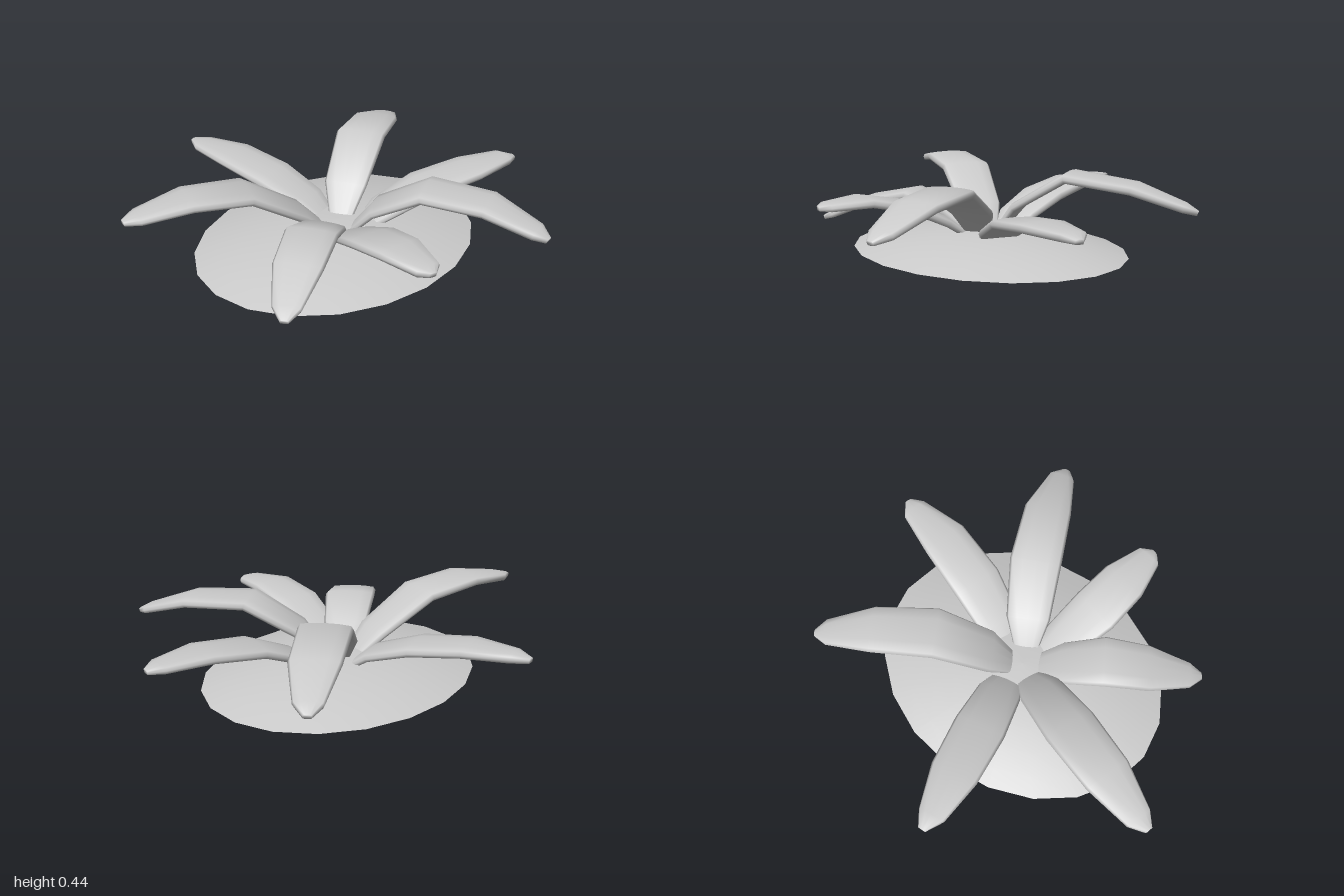
import * as THREE from 'three';

const v = (p) => new THREE.Vector3(...p);

// blade section, as [across, thickness] factors
const SECTION = [[1, 0], [0.9, 0.75], [0.5, 1], [0, 1.1], [-0.5, 1], [-0.9, 0.75],
  [-1, 0], [-0.9, -0.8], [-0.45, -0.9], [0.45, -0.9], [0.9, -0.8]];
// half width and half thickness at each station from root to tip
const HALF_WIDTH = [0.03, 0.11, 0.13, 0.12, 0.068, 0.02];
const HALF_THICK = [0.012, 0.022, 0.024, 0.023, 0.02, 0.012];

// leaf centre lines, six stations each
const LEAVES = {
  backLeaf: [[0.05, 0.005, 0.02], [-0.01, 0.17, -0.2], [-0.06, 0.245, -0.42], [-0.11, 0.285, -0.68], [-0.15, 0.285, -0.9], [-0.155, 0.28, -0.98]],
  backRightLeaf: [[0.0, 0.03, 0.01], [0.14, 0.25, -0.08], [0.37, 0.41, -0.21], [0.64, 0.37, -0.37], [0.84, 0.29, -0.5], [0.89, 0.265, -0.535]],
  rightLeaf: [[0.06, 0.03, 0.04], [0.22, 0.15, 0.1], [0.43, 0.24, 0.18], [0.7, 0.275, 0.26], [0.93, 0.275, 0.3], [0.99, 0.265, 0.32]],
  frontRightLeaf: [[0.0, 0.02, 0.02], [0.1, 0.24, 0.18], [0.22, 0.375, 0.4], [0.35, 0.36, 0.68], [0.43, 0.28, 0.91], [0.44, 0.255, 0.97]],
  frontLeaf: [[0.0, 0.03, 0.02], [-0.09, 0.17, 0.2], [-0.15, 0.265, 0.41], [-0.18, 0.305, 0.61], [-0.2, 0.295, 0.8], [-0.21, 0.29, 0.84]],
  frontLeftLeaf: [[0.02, 0.03, 0.0], [-0.17, 0.2, 0.1], [-0.35, 0.28, 0.21], [-0.54, 0.235, 0.33], [-0.71, 0.15, 0.45], [-0.76, 0.125, 0.49]],
  backLeftLeaf: [[0.02, 0.02, 0.0], [-0.17, 0.21, -0.08], [-0.42, 0.37, -0.185], [-0.7, 0.395, -0.275], [-0.93, 0.36, -0.345], [-1, 0.35, -0.36]],
};

// thick leaf lofted along its centre line
function leafGeometry(path) {
  const pts = path.map(v), n = SECTION.length, last = pts.length - 1;
  const pos = [], index = [];
  pts.forEach((p, i) => {
    const tangent = pts[Math.min(i + 1, last)].clone().sub(pts[Math.max(i - 1, 0)]).normalize();
    const side = new THREE.Vector3(0, 1, 0).cross(tangent).normalize();
    const normal = tangent.clone().cross(side);
    for (const [a, b] of SECTION) {
      const q = p.clone().addScaledVector(side, a * HALF_WIDTH[i]).addScaledVector(normal, b * HALF_THICK[i]);
      pos.push(q.x, q.y, q.z);
    }
  });
  for (let i = 0; i < last; i++) {
    for (let j = 0; j < n; j++) {
      const k = (j + 1) % n, a = i * n + j, b = i * n + k;
      index.push(a, b, a + n, b, b + n, a + n);
    }
  }
  // end caps
  for (let j = 1; j < n - 1; j++) {
    index.push(0, j + 1, j, last * n, last * n + j, last * n + j + 1);
  }
  const g = new THREE.BufferGeometry();
  g.setAttribute('position', new THREE.Float32BufferAttribute(pos, 3));
  g.setIndex(index);
  g.computeVertexNormals();
  return g;
}

export function createModel() {
  const model = new THREE.Group();
  model.name = 'plant';
  const grey = new THREE.MeshStandardMaterial({ color: 0xcccccc });

  // shallow oval mound, open underneath
  const profile = [1, 0.85, 0.68, 0.5, 0.32, 0.15, 0].map((r) => new THREE.Vector2(r, 0.11 * (1 - r * r)));
  const mound = new THREE.Mesh(new THREE.LatheGeometry(profile, 20),
    new THREE.MeshStandardMaterial({ color: 0xcccccc, side: THREE.DoubleSide }));
  mound.name = 'mound';
  mound.scale.set(0.765, 1, 0.625);
  mound.position.y = 0.025;
  model.add(mound);

  // seven arching leaves
  for (const [name, path] of Object.entries(LEAVES)) {
    const leaf = new THREE.Mesh(leafGeometry(path), grey);
    leaf.name = name;
    model.add(leaf);
  }
  return model;
}
